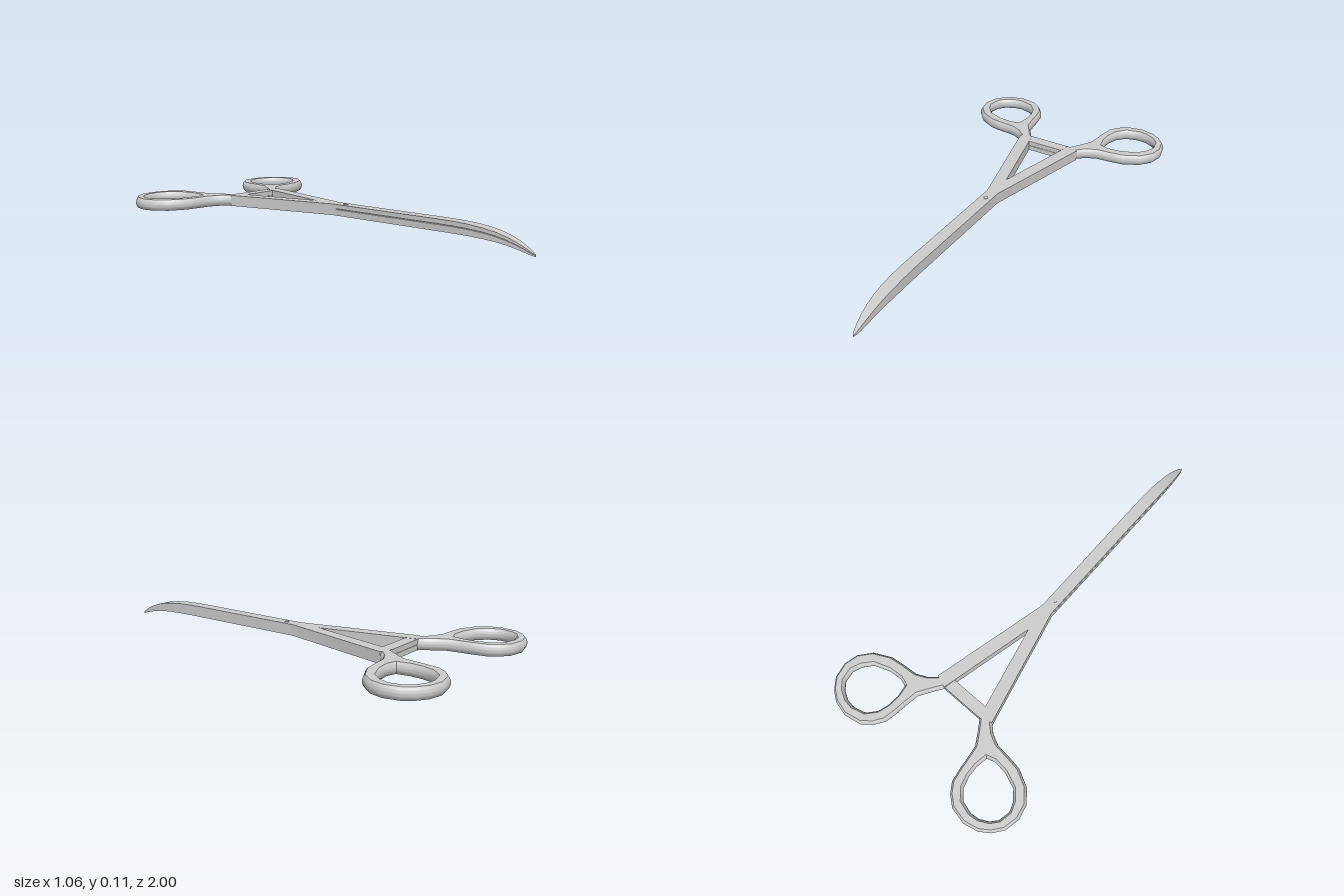
import * as THREE from 'three';
import { toCreasedNormals } from 'three/addons/utils/BufferGeometryUtils.js';

const BOTTOM = 0.05, TOP = 0.103;
const steel = new THREE.MeshStandardMaterial({ color: 0xcccccc });

function part(name, geometry) {
  const mesh = new THREE.Mesh(toCreasedNormals(geometry, 0.7), steel);
  mesh.name = name;
  return mesh;
}

// Plan outline given as [x, z], always wound anticlockwise; side mirrors it across x = 0
function plan(points, side) {
  const outline = points.map(([x, z]) => new THREE.Vector2(x * side, -z));
  return THREE.ShapeUtils.isClockWise(outline) ? outline.reverse() : outline;
}

// Flat plate with square edges
function plate(points, side, y0, y1) {
  const geometry = new THREE.ExtrudeGeometry(new THREE.Shape(plan(points, side)), { depth: y1 - y0, bevelEnabled: false });
  return geometry.rotateX(-Math.PI / 2).translate(0, y0, 0);
}

// Finger ring: the bevel is remapped so that the walls bulge in one arc from face to face
function ring(points, hole, side) {
  const shape = new THREE.Shape(plan(points, side));
  shape.holes.push(new THREE.Path(plan(hole, side)));
  const half = (TOP - BOTTOM) / 2, core = 0.0005, bulge = 0.011, thick = half - core;
  const geometry = new THREE.ExtrudeGeometry(shape, {
    depth: 2 * core, bevelThickness: thick, bevelSize: bulge, bevelOffset: -bulge, bevelSegments: 5,
  });
  geometry.translate(0, 0, -core).rotateX(-Math.PI / 2);
  const p = geometry.attributes.position;
  for (let i = 0; i < p.count; i++) {
    const c = Math.min(1, Math.max(0, (Math.abs(p.getY(i)) - core) / thick));
    const height = core + thick * Math.sqrt(1 - Math.sqrt(1 - c * c));
    p.setY(i, Math.sign(p.getY(i)) * height);
  }
  return geometry.translate(0, BOTTOM + half, 0);
}

const ringOutline = [
  [0.159, -0.58], [0.164, -0.6], [0.2, -0.632], [0.25, -0.655], [0.32, -0.661], [0.386, -0.67],
  [0.466, -0.71], [0.513, -0.767], [0.529, -0.833], [0.513, -0.905], [0.476, -0.952],
  [0.429, -0.984], [0.36, -1], [0.28, -0.984], [0.233, -0.947], [0.201, -0.9], [0.19, -0.836],
  [0.185, -0.794], [0.175, -0.725], [0.138, -0.667], [0.106, -0.62], [0.098, -0.58],
];
const ringHole = [
  [0.249, -0.73], [0.286, -0.718], [0.35, -0.724], [0.423, -0.751], [0.46, -0.794],
  [0.476, -0.836], [0.466, -0.889], [0.439, -0.92], [0.397, -0.942], [0.355, -0.947],
  [0.296, -0.931], [0.259, -0.889], [0.243, -0.836], [0.24, -0.783],
];
const armOutline = [[0, -0.02], [0.029, -0.02], [0.029, -0.04], [0.164, -0.6], [0.106, -0.62], [0, -0.17]];

// Jaw stations: z, half width, bottom y, top y
const jawStations = [
  [-0.03, 0.029, 0.05, 0.103], [0.55, 0.029, 0.05, 0.103], [0.63, 0.029, 0.05, 0.102],
  [0.7, 0.029, 0.049, 0.099], [0.77, 0.0283, 0.046, 0.092], [0.83, 0.0258, 0.041, 0.082],
  [0.88, 0.0225, 0.033, 0.068], [0.92, 0.0185, 0.024, 0.053], [0.96, 0.013, 0.013, 0.033],
  [0.985, 0.008, 0.005, 0.018], [1, 0.002, 0, 0.008],
];

// Lofts the lower or upper half of the jaws, chamfered along the right side of the seam
function jaw(upper) {
  const position = [], index = [], n = 5;
  for (const [z, w, b, t] of jawStations) {
    const seam = b + (t - b) * 0.58, ch = (t - b) * 0.04, inner = w * 0.92;
    const section = upper
      ? [[-inner, seam], [w, seam], [w, t], [-w, t], [-w, seam + ch]]
      : [[-w, b], [w, b], [w, seam], [-inner, seam], [-w, seam - ch]];
    for (const [x, y] of section) position.push(x, y, z);
  }
  const last = (jawStations.length - 1) * n;
  for (let k = 0; k < last; k += n) {
    for (let i = 0; i < n; i++) {
      const j = (i + 1) % n;
      index.push(k + i, k + j, k + n + j, k + i, k + n + j, k + n + i);
    }
  }
  for (let i = 1; i < n - 1; i++) index.push(last, last + i, last + i + 1, 0, i + 1, i);
  const geometry = new THREE.BufferGeometry();
  geometry.setAttribute('position', new THREE.Float32BufferAttribute(position, 3));
  geometry.setIndex(index);
  return geometry;
}

export function createModel() {
  const model = new THREE.Group();
  model.name = 'clamp';

  // Mirrored arms and finger rings
  for (const [label, side] of [['left', 1], ['right', -1]]) {
    model.add(part(label + 'Arm', plate(armOutline, side, BOTTOM, TOP)));
    model.add(part(label + 'FingerRing', ring(ringOutline, ringHole, side)));
  }

  // Two overlapping locking bars between the arms
  const bar = [[-0.125, -0.62], [-0.112, -0.565], [0.092, -0.565], [0.103, -0.62]];
  model.add(part('upperLockBar', plate(bar, 1, 0.078, 0.102)));
  model.add(part('lowerLockBar', plate(bar, -1, 0.052, 0.0765)));

  // Curved jaws
  model.add(part('lowerJaw', jaw(false)), part('upperJaw', jaw(true)));

  // Pivot pin with domed ends
  const pin = [[0, 0.0445], [0.008, 0.0455], [0.011, 0.0475], [0.011, 0.1055], [0.008, 0.1075], [0, 0.1085]];
  const pivot = part('pivotPin', new THREE.LatheGeometry(pin.map(([r, y]) => new THREE.Vector2(r, y)), 16));
  pivot.position.z = 0.018;
  model.add(pivot);
  return model;
}
